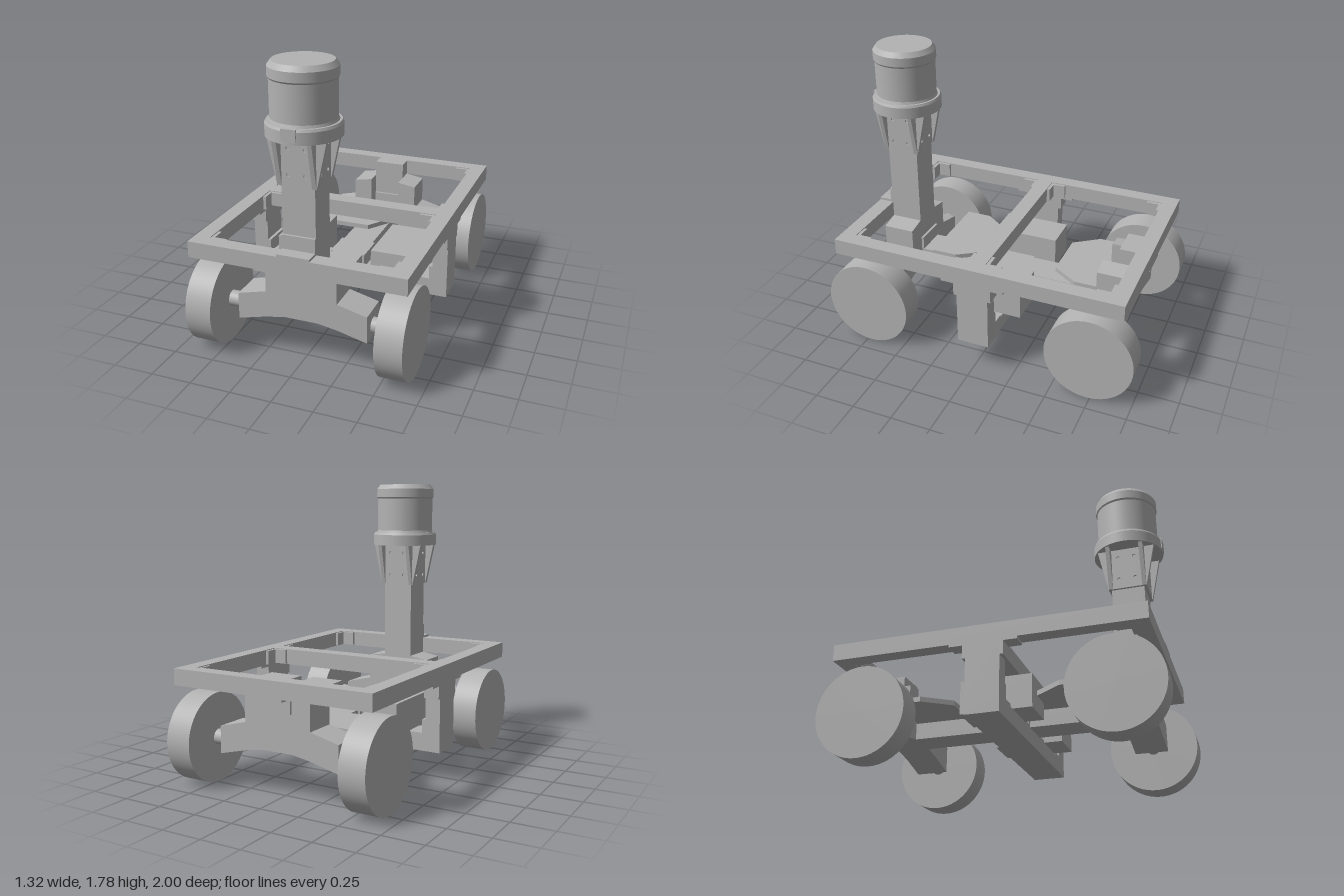
import * as THREE from 'three';

export function createModel() {
  const model = new THREE.Group();
  model.name = 'roverWithScanner';
  const grey = new THREE.MeshStandardMaterial({ color: 0xb3b3b3 });
  grey.name = 'bareGrey';

  const add = (name, geometry, parent = model) => {
    const mesh = new THREE.Mesh(geometry, grey);
    mesh.name = name;
    parent.add(mesh);
    return mesh;
  };
  // Box given by its bounds, in any order
  const box = (name, x0, x1, y0, y1, z0, z1, parent) => {
    const g = new THREE.BoxGeometry(Math.abs(x1 - x0), Math.abs(y1 - y0), Math.abs(z1 - z0));
    return add(name, g.translate((x0 + x1) / 2, (y0 + y1) / 2, (z0 + z1) / 2), parent);
  };
  const shapeOf = (points) => new THREE.Shape(points.map(([x, y]) => new THREE.Vector2(x, y)));
  const extrude = (shape, depth) =>
    new THREE.ExtrudeGeometry(shape, { depth, bevelEnabled: false, curveSegments: 12 });
  const cylinderX = (r, length, segments) =>
    new THREE.CylinderGeometry(r, r, length, segments).rotateZ(Math.PI / 2);

  // Top frame
  for (const s of [1, -1]) {
    box('frameSideRail', s * 0.565, s * 0.66, 0.605, 0.705, -0.925, 0.925);
    box('frameEndRail', -0.565, 0.565, 0.605, 0.705, s * 0.83, s * 0.925);
  }
  box('frameCrossbar', -0.565, 0.565, 0.605, 0.705, -0.05, 0.05);

  // Angle brackets inside the frame, on both sides of every joint
  for (const sx of [1, -1]) for (const sz of [1, -1]) {
    box('cornerBracket', sx * 0.545, sx * 0.565, 0.61, 0.7, sz * 0.73, sz * 0.83);
    box('cornerBracket', sx * 0.465, sx * 0.565, 0.61, 0.7, sz * 0.81, sz * 0.83);
    box('crossbarBracket', sx * 0.545, sx * 0.565, 0.61, 0.7, sz * 0.05, sz * 0.15);
    box('crossbarBracket', sx * 0.465, sx * 0.565, 0.61, 0.7, sz * 0.05, sz * 0.07);
    // Hangers between frame and columns
    box('columnBracket', sx * 0.565, sx * 0.66, 0.59, 0.605, sz * 0.1, sz * 0.2);
    box('columnBracket', sx * 0.565, sx * 0.66, 0.51, 0.605, sz * 0.1, sz * 0.12);
  }

  // Lower beam hung from the frame, with motor boxes
  box('lowerBeam', -0.66, 0.66, 0.18, 0.275, -0.1, 0.1);
  for (const s of [1, -1]) {
    box('column', s * 0.565, s * 0.66, 0.275, 0.605, -0.1, 0.1);
    box('beamBracket', s * 0.545, s * 0.565, 0.275, 0.375, -0.1, 0.1);
    box('beamBracket', s * 0.465, s * 0.565, 0.275, 0.29, -0.1, 0.1);
    box('motorBox', s * 0.2, s * 0.43, 0.275, 0.475, -0.215, 0.215);
    box('spineBracket', s * 0.1, s * 0.115, 0.275, 0.375, -0.1, 0.1);
    box('spineBracket', s * 0.1, s * 0.2, 0.275, 0.29, -0.1, 0.1);
  }

  // Spine and its two equipment plates
  box('spine', -0.1, 0.1, 0.275, 0.375, -0.73, 0.63);
  const plate = shapeOf([[-0.45, 0], [0.11, 0], [0.11, 0.165], [0, 0.33], [-0.33, 0.33], [-0.45, 0.165]]);
  for (const z of [-0.62, 0.54]) {
    const g = extrude(plate, 0.03).rotateX(z < 0 ? Math.PI / 2 : -Math.PI / 2);
    g.translate(0, z < 0 ? 0.405 : 0.375, z);
    add('equipmentPlate', g);
  }

  // Axle housings: arched underside and raised centre
  const underside = [[-0.4, 0.21], [-0.22, 0.255], [-0.1, 0.275], [0.1, 0.275], [0.22, 0.255], [0.4, 0.21]];
  const rightTop = [[0.4, 0.375], [0.22, 0.42], [0.22, 0.585], [0.1, 0.605]];
  const leftTop = rightTop.map(([x, y]) => [-x, y]).reverse();
  const solid = shapeOf([...underside, ...rightTop, ...leftTop]);
  const notched = shapeOf([...underside, ...rightTop, [0.1, 0.375], [-0.1, 0.375], ...leftTop]);
  add('frontAxleHousing', extrude(solid, 0.2).translate(0, 0, 0.63));
  add('rearAxleHousing', extrude(solid, 0.1).translate(0, 0, -0.83));
  add('rearAxleHousing', extrude(notched, 0.1).translate(0, 0, -0.73));

  // Rear post and brackets along the centre line
  box('rearPost', -0.1, 0.1, 0.375, 0.705, -0.83, -0.73);
  const brackets = [
    [0.375, 0.475, -0.73, -0.715], [0.375, 0.39, -0.73, -0.63],
    [0.375, 0.475, 0.615, 0.63], [0.375, 0.39, 0.53, 0.63],
    [0.505, 0.605, -0.845, -0.83], [0.59, 0.605, -0.925, -0.83],
    [0.705, 0.805, 0.83, 0.845], [0.705, 0.72, 0.83, 0.925],
  ];
  for (const b of brackets) box('centreBracket', -0.1, 0.1, ...b);

  // Wheels and stub shafts
  for (const sx of [1, -1]) for (const sz of [1, -1]) {
    add('wheel', cylinderX(0.272, 0.163, 72)).position.set(sx * 0.5785, 0.272, sz * 0.728);
    add('axleShaft', cylinderX(0.047, 0.14, 32)).position.set(sx * 0.45, 0.275, sz * 0.728);
  }

  // Mast
  box('mast', -0.1, 0.1, 0.375, 1.1, 0.63, 0.83);

  // Scanner head
  const head = new THREE.Group();
  head.name = 'scannerHead';
  head.position.set(0, 0, 0.73);
  model.add(head);

  // Socket: four drilled faces, each with two tapering ribs
  box('socketCore', -0.105, 0.105, 1.1, 1.37, -0.105, 0.105, head);
  const face = shapeOf([[-0.115, 1.1], [0.115, 1.1], [0.115, 1.37], [-0.115, 1.37]]);
  for (const x of [-0.05, 0.05]) for (const y of [1.165, 1.315]) {
    face.holes.push(new THREE.Path().absarc(x, y, 0.011, 0, Math.PI * 2, true));
  }
  const rib = shapeOf([[0.1, 1.1], [0.117, 1.1], [0.175, 1.37], [0.1, 1.37]]);
  for (let i = 0; i < 4; i++) {
    const side = new THREE.Group();
    side.name = 'socketSide';
    side.rotation.y = i * Math.PI / 2;
    head.add(side);
    add('socketFace', extrude(face, 0.015).translate(0, 0, 0.1), side);
    for (const z of [-0.115, 0.09]) add('socketRib', extrude(rib, 0.025).translate(0, 0, z), side);
  }

  // Turned body; every profile point is doubled to keep its edges crisp
  const profile = [
    [0, 1.37], [0.215, 1.37], [0.215, 1.44], [0.207, 1.455], [0.193, 1.455], [0.187, 1.47],
    [0.187, 1.685], [0.194, 1.695], [0.194, 1.75], [0.172, 1.78], [0, 1.78],
  ];
  const crisp = profile.flatMap(([x, y]) => [new THREE.Vector2(x, y), new THREE.Vector2(x, y)]).slice(1, -1);
  for (let i = 0; i < crisp.length; i += 2) {
    add('scannerBody', new THREE.LatheGeometry([crisp[i], crisp[i + 1]], 64), head);
  }
  box('scannerConnector', -0.04, 0.045, 1.385, 1.455, 0.17, 0.217, head);

  return model;
}
